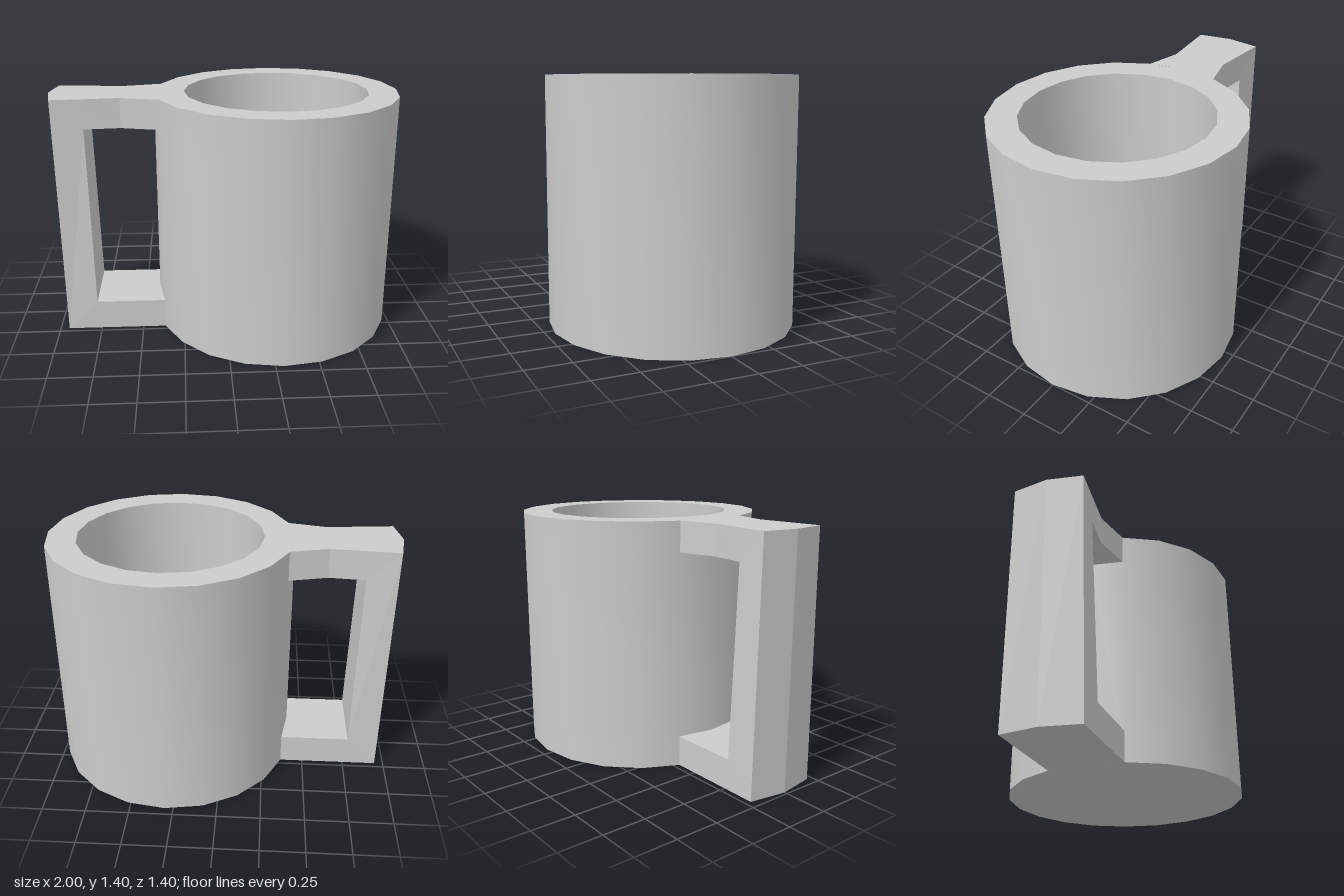
import * as THREE from 'three';
import { toCreasedNormals } from 'three/addons/utils/BufferGeometryUtils.js';

const HEIGHT = 1.4, RADIUS = 0.7, BORE = 0.53, FLOOR = 0.17;

// Lofts a six-point section (outer edge, then inner edge) along the handle's C-shaped path.
function handleGeometry() {
  const stations = [ // outer and inner: [x, y, half width, x shift at the middle]
    { outer: [-0.366, 1.4, 0.216, -0.034], inner: [-0.366, 1.23, 0.216, -0.034] },
    { outer: [-0.585, 1.4, 0.163, 0], inner: [-0.585, 1.23, 0.163, 0] },
    { outer: [-0.967, 1.4, 0.2, -0.033], inner: [-0.79, 1.23, 0.184, 0] },
    { outer: [-0.948, 0, 0.216, -0.035], inner: [-0.77, 0.175, 0.216, 0] },
    { outer: [-0.366, 0, 0.216, -0.034], inner: [-0.366, 0.175, 0.216, -0.034] },
  ];
  const positions = [], index = [], ring = 6;
  const edge = ([x, y, w, shift], sign) => {
    for (const side of [-1, 0, 1]) {
      positions.push(x + (side === 0 ? shift : 0), y, side * sign * w);
    }
  };
  stations.forEach(({ outer, inner }, s) => {
    edge(outer, 1);
    edge(inner, -1);
    if (s === stations.length - 1) return;
    for (let k = 0; k < ring; k++) {
      const a = s * ring + k, b = s * ring + (k + 1) % ring;
      index.push(a, a + ring, b, b, a + ring, b + ring);
    }
  });
  const geometry = new THREE.BufferGeometry();
  geometry.setAttribute('position', new THREE.Float32BufferAttribute(positions, 3));
  geometry.setIndex(index);
  const flat = geometry.toNonIndexed();
  flat.computeVertexNormals();
  return flat;
}

export function createModel() {
  const group = new THREE.Group();
  group.name = 'mug';

  // Twenty-sided cup with a thick wall and a closed floor
  const profile = [
    [0, 0], [RADIUS, 0], [RADIUS, HEIGHT], [BORE, HEIGHT], [BORE, FLOOR], [0, FLOOR],
  ].map(([r, y]) => new THREE.Vector2(r, y));
  const cup = new THREE.Mesh(
    toCreasedNormals(new THREE.LatheGeometry(profile, 20), 0.5),
    new THREE.MeshStandardMaterial({ color: 0xcccccc }),
  );
  cup.name = 'cup';
  cup.position.x = 0.3;
  group.add(cup);

  // Angular handle, pinched along its upper arm
  const handle = new THREE.Mesh(
    handleGeometry(),
    new THREE.MeshStandardMaterial({ color: 0xcccccc, flatShading: true }),
  );
  handle.name = 'handle';
  group.add(handle);

  return group;
}
